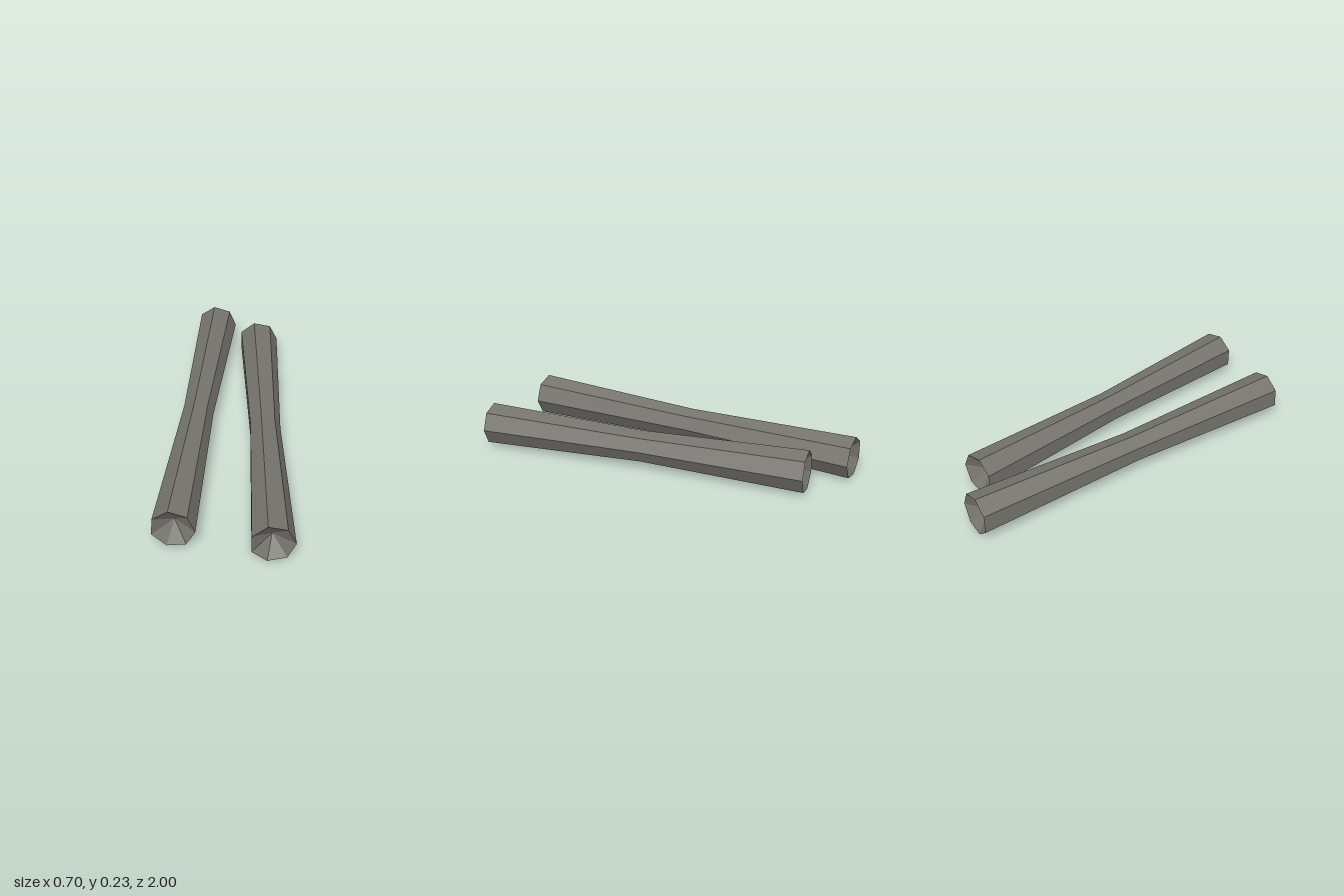
import * as THREE from 'three';

const SIDES = 7;
const RADIUS = 0.113; // flared ends
const WAIST = 0.086;  // slim middle
const HOLLOW = 0.08;  // depth of the conical end recess

const darkGrey = new THREE.MeshStandardMaterial({ color: 0x76746e, flatShading: true });
darkGrey.name = 'darkGrey';

// Waisted seven-sided rod with hollow conical ends, running between two end centres
function makeRod(name, front, back, turn) {
  const half = front.distanceTo(back) / 2;
  const profile = [
    [0, -half + HOLLOW],
    [RADIUS, -half],
    [WAIST, 0],
    [RADIUS, half],
    [0, half - HOLLOW],
  ].map(([r, y]) => new THREE.Vector2(r, y));
  const geometry = new THREE.LatheGeometry(profile, SIDES, Math.PI / 2 + turn);
  geometry.rotateX(Math.PI / 2); // axis along z
  const rod = new THREE.Mesh(geometry, darkGrey);
  rod.name = name;
  rod.position.copy(front).add(back).multiplyScalar(0.5);
  rod.lookAt(front);
  return rod;
}

export function createModel() {
  const model = new THREE.Group();
  model.name = 'pairOfRods';
  model.add(
    makeRod('rightRod', new THREE.Vector3(-0.247, 0.12, 0.9), new THREE.Vector3(-0.063, 0.112, -0.99), -0.05),
    makeRod('leftRod', new THREE.Vector3(0.238, 0.12, 0.995), new THREE.Vector3(0.187, 0.116, -0.803), 0),
  );
  return model;
}
